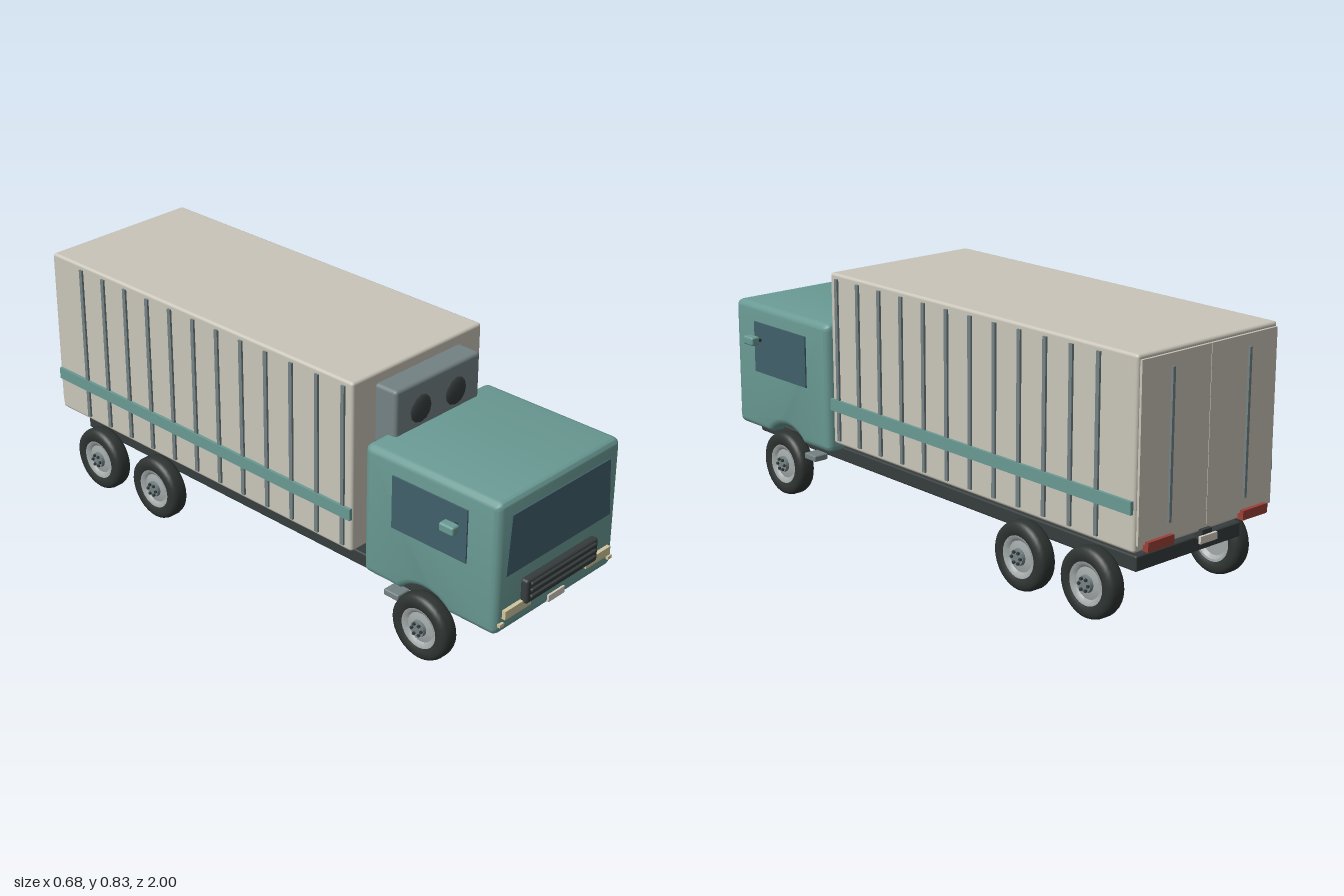
import * as THREE from 'three';
import { RoundedBoxGeometry } from 'three/addons/geometries/RoundedBoxGeometry.js';
import { toCreasedNormals } from 'three/addons/utils/BufferGeometryUtils.js';

const mat = (name, color) => {
  const m = new THREE.MeshStandardMaterial({ color });
  m.name = name;
  return m;
};

export function createModel() {
  const teal = mat('teal paint', 0x6a9a94);
  const cream = mat('cream panel', 0xc9c5b9);
  const grey = mat('blue grey metal', 0x748284);
  const dark = mat('dark metal', 0x363c3d);
  const rubber = mat('tyre rubber', 0x2e3432);
  const rimGrey = mat('wheel rim', 0xa2a8a8);
  const glass = mat('window glass', 0x41606b);
  const lamp = mat('lamp cream', 0xd0c69c);
  const red = mat('tail lamp red', 0x9c4038);
  const plate = mat('number plate', 0xd3cbc0);

  const truck = new THREE.Group();
  truck.name = 'truck';

  const add = (name, geo, material, parent = truck) => {
    const mesh = new THREE.Mesh(geo, material);
    mesh.name = name;
    parent.add(mesh);
    return mesh;
  };
  // Box given by its limits; r > 0 rounds the edges
  const box = (name, material, x0, x1, y0, y1, z0, z1, r = 0) => {
    const w = x1 - x0, h = y1 - y0, d = z1 - z0;
    const geo = r ? new RoundedBoxGeometry(w, h, d, 2, r) : new THREE.BoxGeometry(w, h, d);
    const mesh = add(name, geo, material);
    mesh.position.set((x0 + x1) / 2, (y0 + y1) / 2, (z0 + z1) / 2);
    return mesh;
  };
  // The same box on both sides of the truck
  const pair = (name, material, x0, x1, ...rest) => {
    box(name + 'Left', material, x0, x1, ...rest);
    box(name + 'Right', material, -x1, -x0, ...rest);
  };

  // Cab: side profile with wheel arch, extruded across the width
  const z0 = 0.445, z1 = 0.967, y0 = 0.2, y1 = 0.645, r = 0.025;
  const axleZ = 0.69, axleY = 0.11, archR = 0.132;
  const a = Math.asin((y0 - axleY) / archR);
  const archHalf = archR * Math.cos(a);
  const side = new THREE.Shape();
  side.moveTo(z0 + r, y0);
  side.lineTo(axleZ - archHalf, y0);
  side.absarc(axleZ, axleY, archR, Math.PI - a, a, true);
  side.lineTo(z1 - r, y0);
  side.quadraticCurveTo(z1, y0, z1, y0 + r);
  side.lineTo(z1, y1 - r);
  side.quadraticCurveTo(z1, y1, z1 - r, y1);
  side.lineTo(z0 + r, y1);
  side.quadraticCurveTo(z0, y1, z0, y1 - r);
  side.lineTo(z0, y0 + r);
  side.quadraticCurveTo(z0, y0, z0 + r, y0);
  const bevel = 0.022, halfW = 0.282;
  let cabGeo = new THREE.ExtrudeGeometry(side, {
    depth: 2 * (halfW - bevel), bevelEnabled: true, bevelSize: bevel,
    bevelThickness: bevel, bevelOffset: -bevel, bevelSegments: 3, curveSegments: 8,
  });
  cabGeo.translate(0, 0, -(halfW - bevel));
  cabGeo.rotateY(-Math.PI / 2);
  cabGeo = toCreasedNormals(cabGeo, 0.6);
  add('cab', cabGeo, teal);

  // Windscreen and side windows
  const screen = new THREE.Shape([
    new THREE.Vector2(-0.245, 0.395), new THREE.Vector2(0.245, 0.395),
    new THREE.Vector2(0.228, 0.593), new THREE.Vector2(-0.228, 0.593),
  ]);
  add('windscreen', new THREE.ExtrudeGeometry(screen, { depth: 0.006, bevelEnabled: false }), glass)
    .position.z = 0.966;
  pair('sideWindow', glass, 0.279, 0.287, 0.407, 0.584, 0.563, 0.853);

  // Mirrors
  pair('mirrorArm', dark, 0.28, 0.315, 0.52, 0.53, 0.81, 0.82);
  pair('mirror', teal, 0.308, 0.341, 0.515, 0.545, 0.79, 0.845, 0.007);

  // Grille with slats, front lamps and plate
  box('grille', dark, -0.17, 0.17, 0.272, 0.354, 0.964, 0.992, 0.009);
  for (let i = 0; i < 3; i++) {
    const y = 0.29 + i * 0.022;
    box('grilleSlat', dark, -0.155, 0.155, y, y + 0.011, 0.988, 1.0, 0.004);
  }
  pair('headlight', lamp, 0.132, 0.251, 0.253, 0.282, 0.964, 0.98);
  pair('indicator', lamp, 0.249, 0.268, 0.231, 0.242, 0.955, 0.976);
  box('frontPlate', plate, -0.038, 0.038, 0.212, 0.235, 0.964, 0.974);

  // Chassis, crossmember and steps
  box('chassis', dark, -0.225, 0.225, 0.164, 0.213, -0.925, 0.918, 0.006);
  box('crossmember', grey, -0.195, 0.195, 0.15, 0.168, 0.53, 0.59, 0.005);
  pair('step', grey, 0.225, 0.28, 0.15, 0.172, 0.53, 0.59, 0.005);

  // Cargo box with side ribs and stripe
  box('cargoBox', cream, -0.292, 0.292, 0.252, 0.832, -0.978, 0.406, 0.01);
  for (let i = 0; i < 12; i++) {
    const z = 0.37 - i * 0.109;
    pair('sideRib', grey, 0.288, 0.299, 0.268, 0.815, z - 0.007, z + 0.007);
  }
  pair('sideStripe', teal, 0.29, 0.302, 0.368, 0.408, -0.972, 0.406);

  // Rear doors, lock bars, lamps and plate
  pair('rearDoor', cream, 0.001, 0.283, 0.275, 0.818, -0.986, -0.974);
  pair('lockBar', grey, 0.156, 0.166, 0.32, 0.78, -0.994, -0.982);
  pair('tailLamp', red, 0.148, 0.255, 0.253, 0.283, -0.999, -0.976);
  box('rearPlate', plate, -0.036, 0.036, 0.224, 0.247, -1.0, -0.991);
  box('rearPlateBracket', dark, -0.02, 0.02, 0.23, 0.262, -0.992, -0.96);

  // Cooling unit with two domed fans
  box('coolingUnit', grey, -0.192, 0.192, 0.597, 0.796, 0.398, 0.488, 0.012);
  for (const s of [1, -1]) {
    const fan = add('coolingFan', new THREE.SphereGeometry(0.048, 12, 8).rotateX(Math.PI / 2), dark);
    fan.scale.z = 0.28;
    fan.position.set(s * 0.08, 0.702, 0.486);
  }

  // Wheels: lathed tyre and rim about x, with hub and bolts on the outer face
  const lathe = (pts, seg) => toCreasedNormals(new THREE.LatheGeometry(
    pts.map(([rad, h]) => new THREE.Vector2(rad, h)), seg).rotateZ(-Math.PI / 2), 0.7);
  const tyreGeo = lathe([[0.066, -0.026], [0.08, -0.032], [0.096, -0.031], [0.106, -0.025],
    [0.11, -0.014], [0.11, 0.014], [0.106, 0.025], [0.096, 0.031], [0.08, 0.032],
    [0.066, 0.026], [0.066, -0.026]], 32);
  const rimGeo = lathe([[0, -0.014], [0.05, -0.014], [0.06, -0.026], [0.07, -0.027],
    [0.07, 0.027], [0.06, 0.026], [0.05, 0.017], [0.03, 0.022], [0, 0.022]], 32);
  const hubGeo = new THREE.CylinderGeometry(0.026, 0.028, 0.014, 16).rotateZ(-Math.PI / 2);
  const boltGeo = new THREE.CylinderGeometry(0.005, 0.005, 0.012, 6).rotateZ(-Math.PI / 2);
  for (const z of [0.69, -0.506, -0.795]) {
    for (const s of [1, -1]) {
      const wheel = new THREE.Group();
      wheel.name = (z > 0 ? 'front' : 'rear') + 'Wheel' + (s > 0 ? 'Left' : 'Right');
      wheel.position.set(s * 0.271, 0.11, z);
      if (s < 0) wheel.rotation.y = Math.PI;
      truck.add(wheel);
      add('tyre', tyreGeo, rubber, wheel);
      add('rim', rimGeo, rimGrey, wheel);
      add('hub', hubGeo, grey, wheel).position.x = 0.026;
      for (let i = 0; i < 6; i++) {
        const t = (i * Math.PI) / 3;
        add('bolt', boltGeo, dark, wheel).position.set(0.034, 0.019 * Math.sin(t), 0.019 * Math.cos(t));
      }
    }
  }
  return truck;
}
